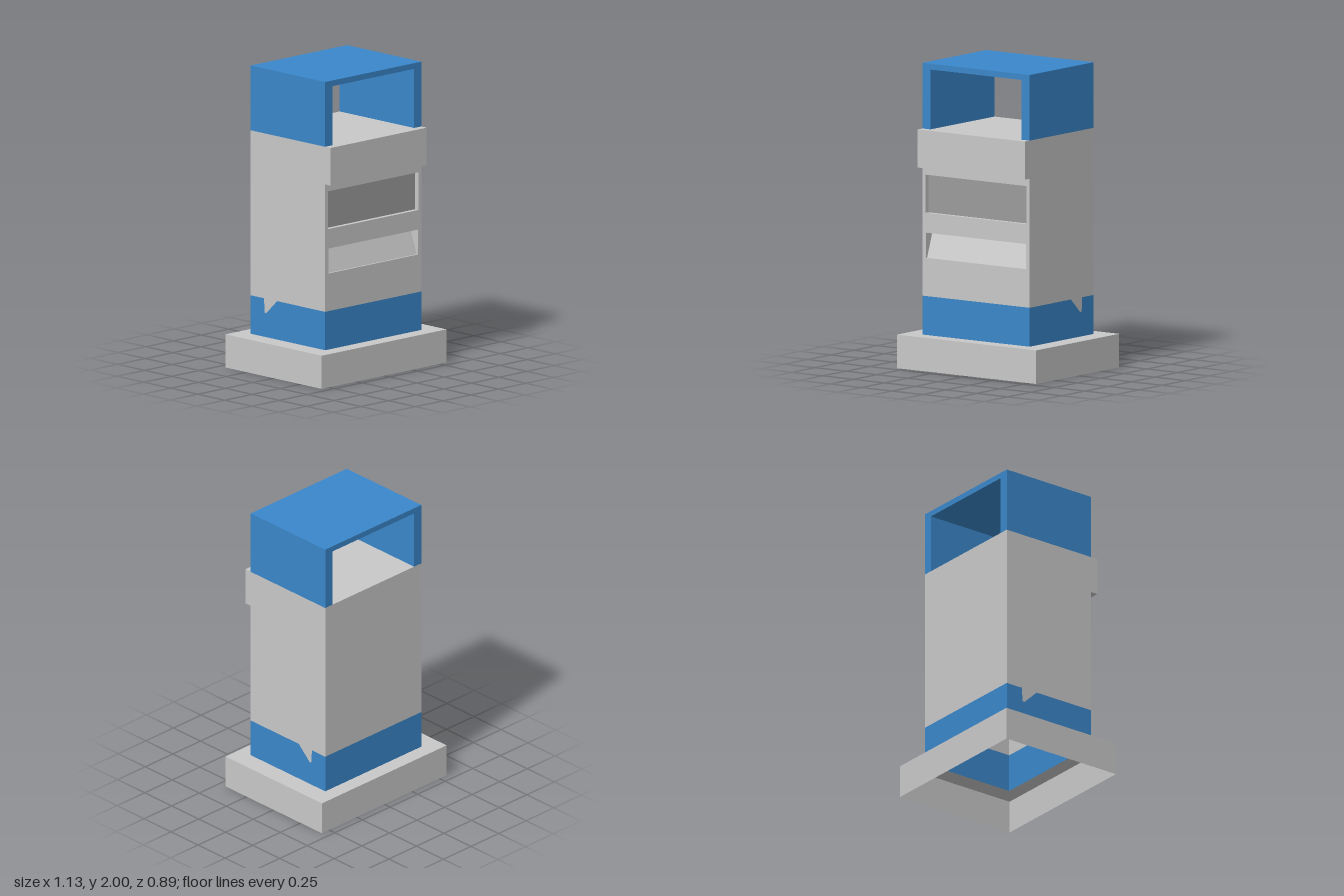
import * as THREE from 'three';

const W = 0.435, D = 0.345;                 // body half width and half depth
const BW = 0.565, BD = 0.447;               // plinth half width and half depth
const PLINTH = 0.22, FLOOR = 1.57, TOP = 2; // main levels
const BAND = 0.475;                         // top of the lower blue band
const LIP_Y = 1.32, LIP_Z = 0.395;          // front lip

function material(name, color) {
  const m = new THREE.MeshStandardMaterial({ color, side: THREE.DoubleSide });
  m.name = name;
  return m;
}

export function createModel() {
  const root = new THREE.Group();
  root.name = 'wasteStation';
  const grey = material('lightGrey', 0xc8c8c8);
  const dark = material('midGrey', 0x9b9b9b);
  const blue = material('blue', 0x3a87ca);

  const add = (name, geometry, mat, parent = root) => {
    const mesh = new THREE.Mesh(geometry, mat);
    mesh.name = name;
    parent.add(mesh);
    return mesh;
  };
  const group = (name) => {
    const g = new THREE.Group();
    g.name = name;
    root.add(g);
    return g;
  };
  const shapeOf = (pts) => new THREE.Shape(pts.map(([x, y]) => new THREE.Vector2(x, y)));
  const rect = (x0, y0, x1, y1) => [[x0, y0], [x1, y0], [x1, y1], [x0, y1]];
  const flat = (pts, holes = []) => {
    const s = shapeOf(pts);
    s.holes = holes.map(shapeOf);
    return new THREE.ShapeGeometry(s);
  };
  // Four corners, counter-clockwise as seen from outside
  const quad = (a, b, c, d) => {
    const g = new THREE.BufferGeometry();
    g.setAttribute('position', new THREE.Float32BufferAttribute([a, b, c, a, c, d].flat(), 3));
    g.computeVertexNormals();
    return g;
  };
  // Upright panel facing front (or back)
  const frontPanel = (name, mat, y0, y1, z, parent, w = W, holes = []) => {
    const m = add(name, flat(rect(-w, y0, w, y1), holes), mat, parent);
    m.position.z = z;
    if (z < 0) m.rotation.y = Math.PI;
  };
  // Pair of side panels, given as [z, y] outlines
  const sidePanels = (name, mat, zy, x, parent) => {
    for (const s of [1, -1]) {
      const m = add(name + (s > 0 ? 'Left' : 'Right'), flat(zy.map(([z, y]) => [-s * z, y])), mat, parent);
      m.rotation.y = s * Math.PI / 2;
      m.position.x = s * x;
    }
  };

  // Plinth: hollow skirt with a ring-shaped top
  const plinth = group('plinth');
  frontPanel('plinthFront', grey, 0, PLINTH, BD, plinth, BW);
  frontPanel('plinthBack', grey, 0, PLINTH, -BD, plinth, BW);
  sidePanels('plinthSide', grey, rect(-BD, 0, BD, PLINTH), BW, plinth);
  const ring = add('plinthTop', flat(rect(-BW, -BD, BW, BD), [rect(-W, -D, W, D)]), grey, plinth);
  ring.rotation.x = -Math.PI / 2;
  ring.position.y = PLINTH;

  // Lower band, with a notch in each side
  const notch = [[-0.1, BAND], [-0.2, 0.38], [-0.215, 0.38], [-0.222, BAND]];
  const band = group('lowerBand');
  frontPanel('bandFront', blue, PLINTH, BAND, D, band);
  frontPanel('bandBack', blue, PLINTH, BAND, -D, band);
  sidePanels('bandSide', blue, [[-D, PLINTH], [D, PLINTH], [D, BAND], ...notch, [-D, BAND]], W, band);

  // Body shell with two front openings and a projecting lip
  const body = group('body');
  const slots = [
    { name: 'upperRecess', mat: dark, w: 0.408, y0: 1.02, y1: 1.27, low: 0.03, high: 0.03 },
    { name: 'lowerRecess', mat: grey, w: 0.405, y0: 0.725, y1: 0.89, low: 0.012, high: 0.07 },
  ];
  frontPanel('bodyFront', grey, BAND, LIP_Y, D, body, W, slots.map((s) => rect(-s.w, s.y0, s.w, s.y1)));
  frontPanel('bodyBack', grey, BAND, FLOOR, -D, body);
  sidePanels('bodySide', grey, [
    [-D, BAND], ...notch.slice().reverse(), [D, BAND], [D, LIP_Y], [LIP_Z, LIP_Y], [LIP_Z, FLOOR], [-D, FLOOR],
  ], W, body);
  frontPanel('lipFront', grey, LIP_Y, FLOOR, LIP_Z, body);
  add('lipUnderside', quad([-W, LIP_Y, D], [W, LIP_Y, D], [W, LIP_Y, LIP_Z], [-W, LIP_Y, LIP_Z]), grey, body);
  add('shelf', quad([-W, FLOOR, LIP_Z], [W, FLOOR, LIP_Z], [W, FLOOR, -D], [-W, FLOOR, -D]), grey, body);

  // Recess linings and back plates
  for (const { name, mat, w, y0, y1, low, high } of slots) {
    const g = group(name);
    const zl = D - low, zh = D - high;
    add('backPlate', quad([-w, y0, zl], [w, y0, zl], [w, y1, zh], [-w, y1, zh]), mat, g);
    add('sill', quad([-w, y0, D], [w, y0, D], [w, y0, zl], [-w, y0, zl]), grey, g);
    add('head', quad([-w, y1, zh], [w, y1, zh], [w, y1, D], [-w, y1, D]), grey, g);
    add('jambRight', quad([-w, y0, D], [-w, y0, zl], [-w, y1, zh], [-w, y1, D]), grey, g);
    add('jambLeft', quad([w, y0, zl], [w, y0, D], [w, y1, D], [w, y1, zh]), grey, g);
  }

  // Canopy: an arch open at front and back
  const iw = 0.37;
  const arch = shapeOf([
    [-W, FLOOR], [-iw, FLOOR], [-iw, 1.962], [iw, 1.962], [iw, FLOOR], [W, FLOOR], [W, TOP], [-W, TOP],
  ]);
  const canopy = new THREE.ExtrudeGeometry(arch, { depth: 2 * D, bevelEnabled: false });
  add('canopy', canopy.translate(0, 0, -D), blue);

  return root;
}
